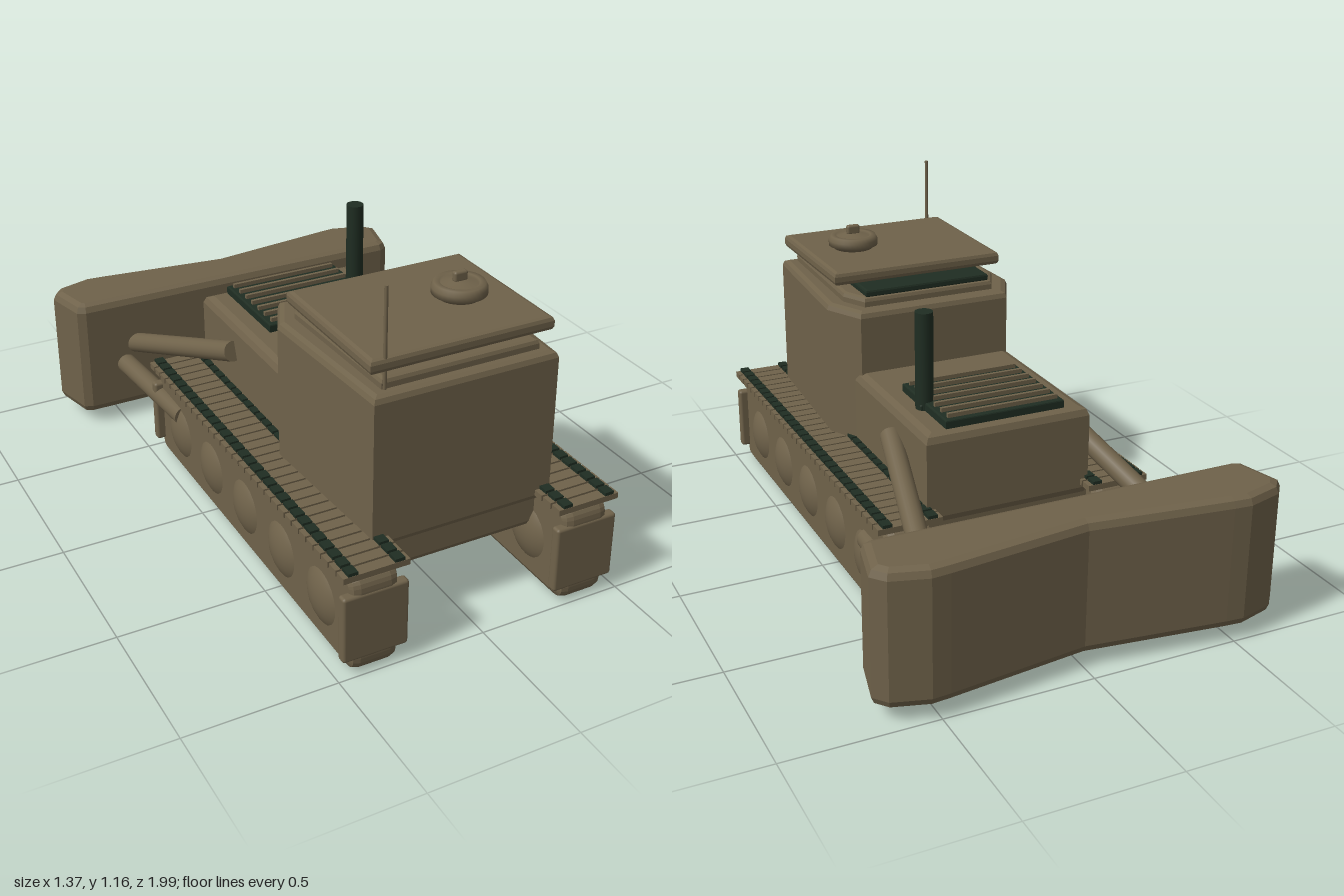
import * as THREE from 'three';
import { RoundedBoxGeometry } from 'three/addons/geometries/RoundedBoxGeometry.js';

export function createModel() {
  const model = new THREE.Group();
  model.name = 'armouredBulldozer';
  const paint = new THREE.MeshStandardMaterial({ color: 0x6f624a });
  paint.name = 'drab paint';
  const dark = new THREE.MeshStandardMaterial({ color: 0x1f2d22 });
  dark.name = 'dark green';

  const add = (name, geometry, material, x = 0, y = 0, z = 0, parent = model) => {
    const mesh = new THREE.Mesh(geometry, material);
    mesh.name = name;
    mesh.position.set(x, y, z);
    parent.add(mesh);
    return mesh;
  };

  // Bevelled block from a plan outline of [x, z] points, standing from y0 to y1
  const prism = (points, y0, y1, bevel) => {
    const shape = new THREE.Shape(points.map(([x, z]) => new THREE.Vector2(x, -z)));
    const geometry = new THREE.ExtrudeGeometry(shape, {
      depth: y1 - y0 - 2 * bevel, bevelThickness: bevel, bevelSize: bevel,
      bevelOffset: -bevel, bevelSegments: 2,
    });
    return geometry.rotateX(-Math.PI / 2).translate(0, y0 + bevel, 0);
  };
  // Right half of an outline, mirrored to a closed one
  const mirrored = (half) => [...half, ...half.filter(([x]) => x > 0).map(([x, z]) => [-x, z]).reverse()];

  // Bevelled box given by its limits
  const block = (name, material, [x0, x1], [y0, y1], [z0, z1], bevel, parent = model) =>
    add(name, prism([[x0, z0], [x1, z0], [x1, z1], [x0, z1]], y0, y1, bevel), material, 0, 0, 0, parent);

  // Round bar between two points
  const bar = (name, from, to, radius, material, parent = model) => {
    const a = new THREE.Vector3(...from), b = new THREE.Vector3(...to);
    const dir = b.clone().sub(a);
    const mesh = add(name, new THREE.CylinderGeometry(radius, radius, dir.length(), 20), material, 0, 0, 0, parent);
    mesh.position.copy(a).add(b).multiplyScalar(0.5);
    mesh.quaternion.setFromUnitVectors(new THREE.Vector3(0, 1, 0), dir.normalize());
    return mesh;
  };

  // Hull between the tracks
  block('hull', paint, [-0.3, 0.3], [0.2, 0.36], [-0.41, 0.82], 0.02);
  block('hullBelly', paint, [-0.27, 0.27], [0.18, 0.23], [-0.38, 0.78], 0.015);

  // Engine hood with grille and exhaust
  block('engineHood', paint, [-0.29, 0.29], [0.3, 0.615], [-0.42, 0.25], 0.03);
  block('grilleBase', dark, [-0.21, 0.21], [0.61, 0.643], [-0.39, -0.04], 0.005);
  for (let i = 0; i < 7; i++) {
    add('grilleSlat', new THREE.BoxGeometry(0.39, 0.02, 0.012), paint, 0, 0.647, -0.365 + i * 0.05);
  }
  add('exhaust', new RoundedBoxGeometry(0.05, 0.02, 0.05, 2, 0.005), dark, 0.2, 0.625, -0.2);
  bar('exhaustPipe', [0.2, 0.6, -0.2], [0.2, 0.945, -0.2], 0.03, dark);

  // Cab, tapered towards the blade
  add('cab', prism(mirrored([[0.275, 0.16], [0.345, 0.3], [0.315, 0.86]]), 0.32, 0.835, 0.022), paint);
  add('cabCap', prism(mirrored([[0.24, 0.21], [0.285, 0.3], [0.27, 0.82]]), 0.82, 0.868, 0.015), paint);
  block('visor', dark, [-0.23, 0.23], [0.862, 0.89], [0.22, 0.42], 0.008);
  block('roof', paint, [-0.312, 0.312], [0.89, 0.938], [0.3, 0.83], 0.015);
  block('roofMount', paint, [-0.2, 0.2], [0.86, 0.9], [0.42, 0.7], 0.005);

  // Roof hatch
  const hatchProfile = [[0, 0.93], [0.07, 0.93], [0.07, 0.945], [0.088, 0.95], [0.088, 0.97],
    [0.08, 0.985], [0.062, 0.985], [0.058, 0.978], [0.03, 0.99], [0, 0.99]];
  const hatch = new THREE.LatheGeometry(hatchProfile.map(([r, y]) => new THREE.Vector2(r, y)), 32);
  add('hatch', hatch, paint, 0.138, 0, 0.575);
  add('hatchHandle', new RoundedBoxGeometry(0.048, 0.035, 0.022, 2, 0.008), paint, 0.138, 1.003, 0.575);
  bar('antenna', [-0.26, 0.82, 0.82], [-0.26, 1.16, 0.82], 0.006, paint);

  // Blade with a notched face
  add('blade', prism(mirrored([[0, -0.937], [0.47, -0.995], [0.53, -1], [0.65, -0.965], [0.687, -0.92],
    [0.65, -0.765], [0.62, -0.75]]), 0.05, 0.5, 0.03), paint);

  // Long track body: rounded side profile, bevelled across its width
  const bodyShape = new THREE.Shape();
  const z0 = -0.48, z1 = 0.99, y0 = 0.004, y1 = 0.34, r = 0.05;
  bodyShape.moveTo(z0 + r, y0).lineTo(z1 - r, y0).quadraticCurveTo(z1, y0, z1, y0 + r)
    .lineTo(z1, y1 - r).quadraticCurveTo(z1, y1, z1 - r, y1).lineTo(z0 + r, y1)
    .quadraticCurveTo(z0, y1, z0, y1 - r).lineTo(z0, y0 + r).quadraticCurveTo(z0, y0, z0 + r, y0);
  const bodyGeometry = new THREE.ExtrudeGeometry(bodyShape, {
    depth: 0.1, bevelThickness: 0.03, bevelSize: 0.022, bevelOffset: -0.022, bevelSegments: 2, curveSegments: 6,
  }).translate(0, 0, -0.05).rotateY(-Math.PI / 2).rotateZ(0);
  bodyGeometry.computeVertexNormals();
  const wheelGeometry = new THREE.SphereGeometry(0.14, 32, 20).scale(0.76, 1, 1);
  const padGeometry = new THREE.BoxGeometry(0.22, 0.02, 0.04);
  const studGeometry = new THREE.BoxGeometry(0.032, 0.014, 0.038);

  for (const s of [1, -1]) {
    const track = new THREE.Group();
    track.name = s > 0 ? 'leftTrack' : 'rightTrack';
    model.add(track);
    const cx = 0.372 * s;
    // extruded profile runs along z
    add('trackBody', bodyGeometry, paint, cx, 0, 0, track);
    for (let i = 0; i < 5; i++) {
      add('roadWheel', wheelGeometry, paint, cx, 0.165, 0.795 - i * 0.27, track);
    }
    for (let i = 0; i < 31; i++) {
      const z = -0.46 + i * 0.0477;
      add('trackPad', padGeometry, paint, cx, 0.351, z, track);
      for (const dx of [-0.077, 0.077]) add('padStud', studGeometry, dark, cx + dx, 0.365, z, track);
    }
    for (const z of [0.975, -0.462]) {
      add('endPad', new RoundedBoxGeometry(0.22, 0.23, 0.036, 2, 0.01), paint, cx, 0.172, z, track);
    }
    // Push arms
    bar('upperArm', [0.3 * s, 0.515, -0.15], [0.44 * s, 0.29, -0.8], 0.036, paint);
    bar('lowerArm', [0.44 * s, 0.23, -0.28], [0.48 * s, 0.23, -0.8], 0.036, paint);
  }
  return model;
}
